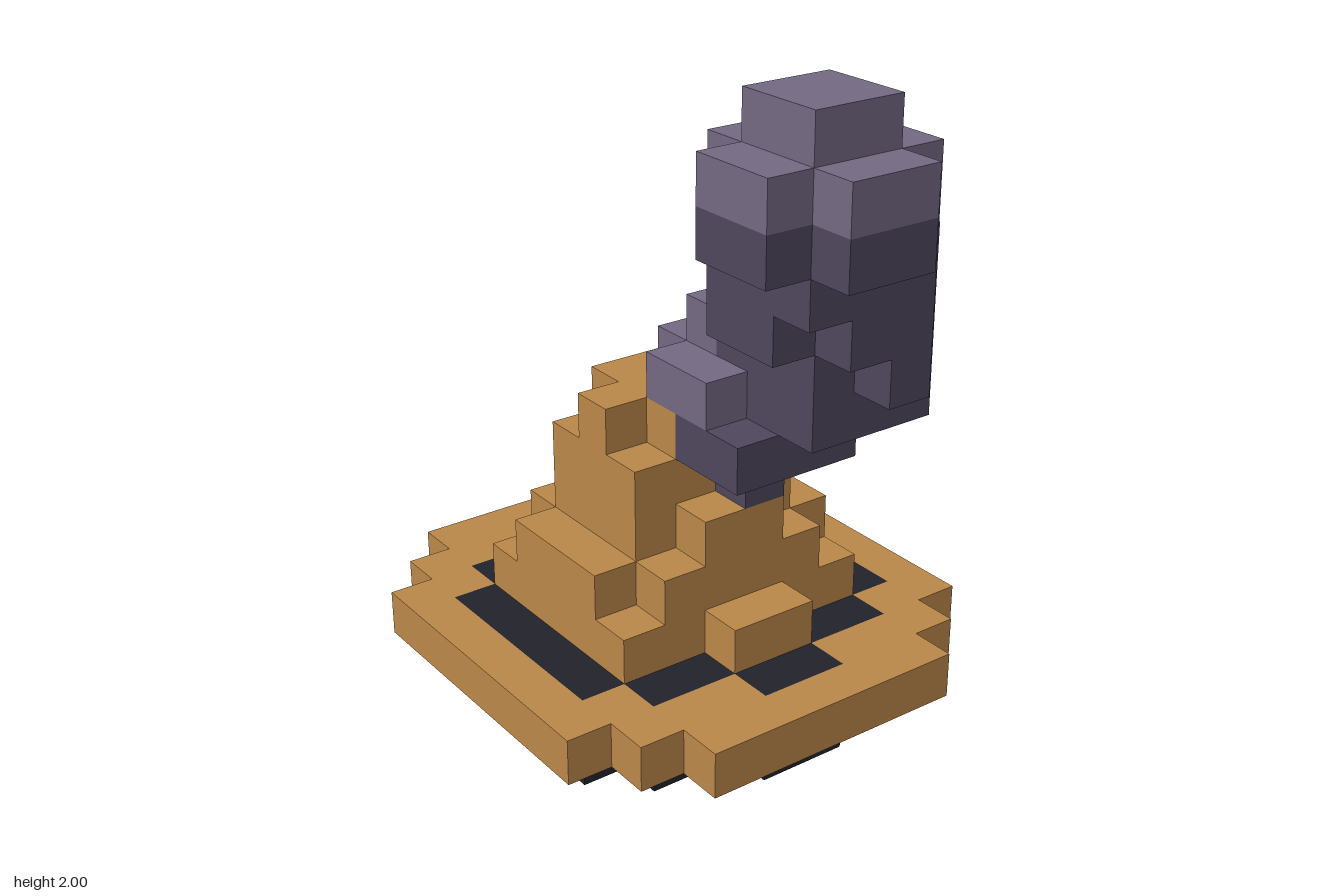
import * as THREE from 'three';

const U = 2 / 15; // edge of one cube

const mat = (name, color) => {
  const m = new THREE.MeshStandardMaterial({ color });
  m.name = name;
  return m;
};

// Each layer lists cube footprints as [x0, x1, z0, z1], counted in cubes
const layers = {
  foot: { 0: [[-2, 1, -2, 2], [-3, 2, -1, 1]] },
  band: {
    1: [[-3, 2, -4, 4], [-4, 3, -3, 3], [-5, 4, -1, 1]],
    2: [[-3, 2, -4, 4], [-4, 3, -3, 3], [-5, 4, -1, 1]],
  },
  brim: { 2: [[-4, 3, -5, 5], [-5, 4, -4, 4], [-6, 5, -3, 3]] },
  cone: {
    2: [[-3, 2, -3, 3], [-4, 3, -1, 1]],
    3: [[-3, 2, -3, 3], [-4, 3, -1, 1]],
    4: [[-2, 1, -3, 3], [-3, 2, -2, 2]],
    5: [[-2, 1, -2, 2], [-3, 2, -1, 1]],
    6: [[-2, 1, -2, 2]],
    7: [[-1, 0, -2, 2], [-2, 1, -1, 1]],
  },
  plume: {
    6: [[1, 2, -1, 0]],
    7: [[1, 3, -2, 1]],
    8: [[-1, 0, -1, 0], [0, 2, -2, 1], [2, 4, -3, 0]],
    9: [[0, 4, -2, 0], [1, 4, -3, -2], [4, 5, -2, -1]],
    10: [[1, 4, -3, 0], [2, 4, 0, 1], [4, 5, -2, 0]],
    11: [[2, 4, -3, -2], [1, 5, -2, 0], [2, 5, 0, 1]],
    12: [[3, 5, -2, 2], [2, 6, -1, 1], [2, 3, -2, -1]],
    13: [[3, 5, -2, 2], [2, 6, -1, 1]],
    14: [[3, 5, -1, 1]],
  },
};

const key = (x, y, z) => `${x},${y},${z}`;

// Writes a part's cubes into the shared grid; later parts replace earlier ones
function fill(grid, part) {
  for (const [level, rects] of Object.entries(layers[part])) {
    for (const [x0, x1, z0, z1] of rects) {
      for (let x = x0; x < x1; x++) {
        for (let z = z0; z < z1; z++) {
          const y = Number(level);
          grid.set(key(x, y, z), { x, y, z, part });
        }
      }
    }
  }
}

// The highest cube of every plume column becomes a pale cap
function capPlume(grid) {
  const tops = new Map();
  for (const c of grid.values()) {
    if (c.part !== 'plume') continue;
    const k = `${c.x},${c.z}`;
    if (!tops.has(k) || tops.get(k).y < c.y) tops.set(k, c);
  }
  for (const c of tops.values()) c.part = 'plumeCap';
}

// Builds only the outer faces of a part's cubes
function surface(grid, part) {
  const pos = [], nor = [], index = [];
  for (const c of grid.values()) {
    if (c.part !== part) continue;
    const p = [c.x, c.y, c.z];
    for (let axis = 0; axis < 3; axis++) {
      for (const side of [1, -1]) {
        const n = [0, 0, 0];
        n[axis] = side;
        if (grid.has(key(p[0] + n[0], p[1] + n[1], p[2] + n[2]))) continue;
        const u = (axis + 1) % 3, v = (axis + 2) % 3;
        const start = pos.length / 3;
        for (const [a, b] of [[0, 0], [1, 0], [1, 1], [0, 1]]) {
          const q = [...p];
          q[axis] += side > 0 ? 1 : 0;
          q[u] += a;
          q[v] += b;
          pos.push(q[0] * U, q[1] * U, q[2] * U);
          nor.push(...n);
        }
        const order = side > 0 ? [0, 1, 2, 0, 2, 3] : [0, 2, 1, 0, 3, 2];
        index.push(...order.map((i) => start + i));
      }
    }
  }
  const g = new THREE.BufferGeometry();
  g.setAttribute('position', new THREE.Float32BufferAttribute(pos, 3));
  g.setAttribute('normal', new THREE.Float32BufferAttribute(nor, 3));
  g.setIndex(index);
  return g;
}

export function createModel() {
  const ochre = mat('ochre', 0xb98748);
  const materials = {
    foot: mat('brown', 0x725233),
    brim: ochre,
    band: mat('nearBlack', 0x22222c),
    cone: ochre,
    plume: mat('darkPurpleGrey', 0x4f465d),
    plumeCap: mat('palePurpleGrey', 0x736881),
  };

  const grid = new Map();
  for (const part of ['foot', 'brim', 'band', 'cone', 'plume']) fill(grid, part);
  capPlume(grid);

  const model = new THREE.Group();
  model.name = 'smokingCone';
  for (const [part, material] of Object.entries(materials)) {
    const mesh = new THREE.Mesh(surface(grid, part), material);
    mesh.name = part;
    model.add(mesh);
  }
  return model;
}
